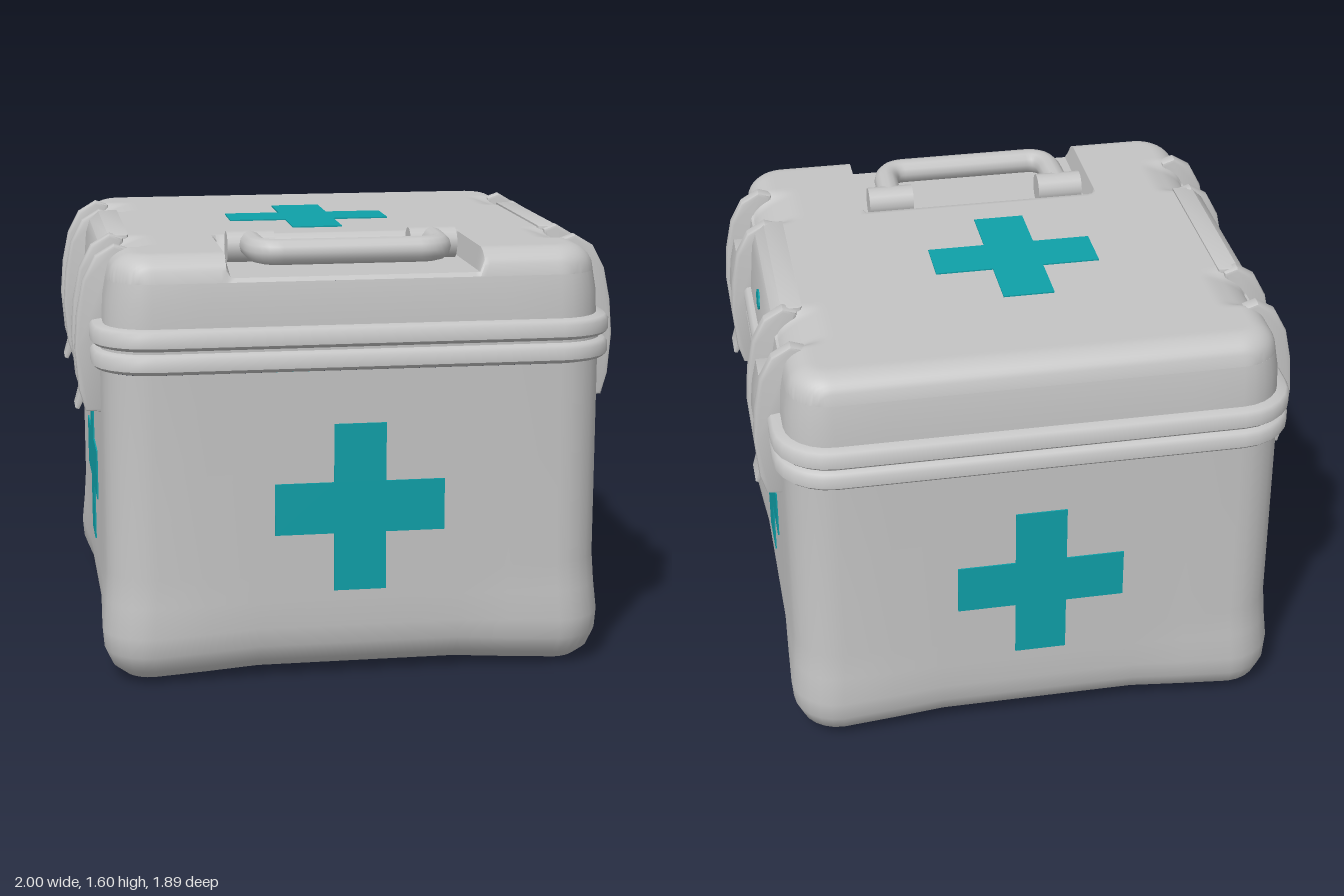
import * as THREE from 'three';
import { toCreasedNormals } from 'three/addons/utils/BufferGeometryUtils.js';

const shellMat = new THREE.MeshStandardMaterial({ color: 0xc4c4c4 });
shellMat.name = 'shell grey';
const tealMat = new THREE.MeshStandardMaterial({ color: 0x0fa0a8 });
tealMat.name = 'cross teal';
const slateMat = new THREE.MeshStandardMaterial({ color: 0x8fa4bb });
slateMat.name = 'base cross slate';

const CORE = 0.735; // where the rounded corners start
const smooth = THREE.MathUtils.smoothstep;

function part(name, geometry, material = shellMat) {
  const mesh = new THREE.Mesh(geometry, material);
  mesh.name = name;
  return mesh;
}

// Points of a rounded square with the given half width
function ring(half) {
  const c = Math.min(CORE, half * 0.95), r = half - c, pts = [];
  for (let k = 0; k < 4; k++) {
    const turn = (k * Math.PI) / 2, cs = Math.cos(turn), sn = Math.sin(turn);
    const add = (x, z) => pts.push([x * cs - z * sn, x * sn + z * cs]);
    for (const t of [-0.75, -0.5, -0.25, 0.25, 0.5, 0.75]) add(half, c * t);
    for (let i = 0; i <= 6; i++) {
      const a = (i / 6) * (Math.PI / 2);
      add(c + r * Math.cos(a), c + r * Math.sin(a));
    }
  }
  return pts;
}

// Skin through rounded squares, listed bottom to top as [y, half width]
function loft(profile, cornerFeet = false) {
  const pos = [], idx = [];
  let n = 0;
  for (const [y, half] of profile) {
    const pts = ring(half);
    n = pts.length;
    for (const [x, z] of pts) {
      const near = smooth(Math.min(Math.abs(x), Math.abs(z)), 0.35, CORE);
      const w = cornerFeet ? near * (1 - smooth(y, 0.15, 0.4)) : 0;
      pos.push(x * (1 + 0.022 * w), y - 0.02 * w, z * (1 + 0.022 * w));
    }
  }
  for (let i = 0; i < profile.length - 1; i++) {
    for (let j = 0; j < n; j++) {
      const a = i * n + j, b = i * n + ((j + 1) % n);
      idx.push(a, a + n, b, b, a + n, b + n);
    }
  }
  const g = new THREE.BufferGeometry();
  g.setAttribute('position', new THREE.Float32BufferAttribute(pos, 3));
  g.setIndex(idx);
  return toCreasedNormals(g, 0.75);
}

// Lid top: domed edge, handle recess and shallow dips beside the latches
function lidTop() {
  const half = 0.885, R = half - CORE, edge = 0.1;
  const g = new THREE.PlaneGeometry(2, 2, 110, 110).rotateX(-Math.PI / 2);
  const p = g.attributes.position;
  const warp = (u) => half * (0.6 * u + 0.4 * Math.sin((u * Math.PI) / 2));
  for (let i = 0; i < p.count; i++) {
    let x = warp(p.getX(i)), z = warp(p.getZ(i));
    const qx = Math.max(Math.abs(x) - CORE, 0), qz = Math.max(Math.abs(z) - CORE, 0);
    const len = Math.hypot(qx, qz);
    if (len > R) {
      x = Math.sign(x) * (Math.abs(x) - qx + (qx * R) / len);
      z = Math.sign(z) * (Math.abs(z) - qz + (qz * R) / len);
    }
    const d = Math.min(Math.max(R - len, 0) / edge, 1);
    let y = 1.47 + 0.095 * Math.sqrt(1 - (1 - d) ** 2);
    const az = Math.abs(z);
    const band = smooth(az, 0.33, 0.38) * (1 - smooth(az, 0.56, 0.62));
    y = Math.max(1.47, y - 0.04 * band * smooth(Math.abs(x), 0.7, 0.86));
    if (x > -0.46 && x < 0.45 && z > 0.38) {
      y = Math.min(y, 1.565 - 0.08 * smooth(z, 0.37, 0.42));
    }
    p.setXYZ(i, x, y, z);
  }
  return toCreasedNormals(g, 0.75);
}

// Side profile in x and y, given width along z
function slab(points, width, bevel = 0.008) {
  const shape = new THREE.Shape(points.map(([x, y]) => new THREE.Vector2(x, y)));
  const g = new THREE.ExtrudeGeometry(shape, {
    depth: width - 2 * bevel, bevelThickness: bevel, bevelSize: bevel,
    bevelOffset: -bevel, bevelSegments: 2,
  });
  return toCreasedNormals(g.translate(0, 0, bevel - width / 2), 0.6);
}

// Thin cross plate facing +z
function cross() {
  const a = 0.095, b = 0.31, s = new THREE.Shape();
  const quarter = [[b, -a], [b, a], [a, a]];
  for (let k = 0; k < 4; k++) {
    for (const [x, y] of quarter) {
      const t = (k * Math.PI) / 2;
      const px = x * Math.cos(t) - y * Math.sin(t), py = x * Math.sin(t) + y * Math.cos(t);
      if (s.curves.length || k || x !== b || y !== -a) s.lineTo(px, py);
      else s.moveTo(px, py);
    }
  }
  return new THREE.ExtrudeGeometry(s, { depth: 0.008, bevelEnabled: false }).translate(0, 0, -0.004);
}

// Centre panel, button and two latches for the +x side
function latchSide() {
  const side = new THREE.Group();
  side.add(part('sidePanel', slab(
    [[0.78, 1.31], [0.92, 1.31], [0.905, 1.49], [0.89, 1.54], [0.855, 1.572], [0.78, 1.572]], 0.7, 0.012)));
  const dot = new THREE.Shape().absellipse(0, 0, 0.052, 0.034, 0, Math.PI * 2);
  const button = part('sideButton',
    new THREE.ExtrudeGeometry(dot, { depth: 0.009, bevelEnabled: false, curveSegments: 8 }).rotateY(Math.PI / 2), tealMat);
  button.position.set(0.907, 1.425, 0);
  button.rotation.z = 0.083;
  side.add(button);

  const rib = slab([[0.8, 1.54], [0.8, 1.56], [0.85, 1.577], [0.92, 1.535], [0.965, 1.45], [0.99, 1.33],
    [1.0, 1.2], [0.988, 1.05], [0.965, 0.97], [0.9, 0.965], [0.87, 1.3]], 0.056, 0.012);
  const plate = slab([[0.88, 1.385], [0.96, 1.385], [0.978, 1.3], [0.988, 1.2], [0.982, 1.125], [0.9, 1.125]], 0.22);
  const tab = slab([[0.9, 1.15], [0.975, 1.15], [0.97, 1.06], [0.998, 0.96], [0.985, 0.955], [0.945, 1.03], [0.9, 1.06]], 0.125, 0.005);
  for (const s of [-1, 1]) {
    const latch = new THREE.Group();
    latch.name = 'latch';
    latch.position.z = s * 0.475;
    for (const dz of [-0.136, 0.136]) {
      const r = part('latchRib', rib);
      r.position.z = dz;
      latch.add(r);
    }
    latch.add(part('latchPlate', plate), part('latchTab', tab));
    side.add(latch);
  }
  return side;
}

export function createModel() {
  const model = new THREE.Group();
  model.name = 'firstAidBox';

  // Shell
  model.add(part('body', loft([[0.02, 0], [0.02, 0.4], [0.02, 0.62], [0.02, 0.76], [0.035, 0.83], [0.07, 0.875],
    [0.13, 0.902], [0.2, 0.91], [0.3, 0.91], [0.4, 0.91], [1.15, 0.91]], true)));
  model.add(part('lowerRim', loft([[1.148, 0.9], [1.156, 0.932], [1.168, 0.945], [1.206, 0.945], [1.22, 0.934], [1.228, 0.91]])));
  model.add(part('seam', loft([[1.215, 0.915], [1.25, 0.915]])));
  model.add(part('upperRim', loft([[1.234, 0.91], [1.241, 0.935], [1.252, 0.947], [1.294, 0.947], [1.308, 0.935], [1.315, 0.89]])));
  model.add(part('lidWall', loft([[1.3, 0.902], [1.4, 0.897], [1.47, 0.885]])));
  model.add(part('lidTop', lidTop()));

  // Latch sides
  for (const turn of [0, Math.PI]) {
    const side = latchSide();
    side.name = turn ? 'rightLatches' : 'leftLatches';
    side.rotation.y = turn;
    model.add(side);
  }

  // Folded carry handle
  const handle = new THREE.Group();
  handle.name = 'handle';
  handle.position.set(-0.005, 1.552, 0);
  const v = (x, z) => new THREE.Vector3(x, 0, z);
  const path = new THREE.CurvePath();
  path.add(new THREE.LineCurve3(v(-0.34, 0.5), v(-0.335, 0.64)));
  path.add(new THREE.QuadraticBezierCurve3(v(-0.335, 0.64), v(-0.33, 0.735), v(-0.25, 0.735)));
  path.add(new THREE.LineCurve3(v(-0.25, 0.735), v(0.25, 0.735)));
  path.add(new THREE.QuadraticBezierCurve3(v(0.25, 0.735), v(0.33, 0.735), v(0.335, 0.64)));
  path.add(new THREE.LineCurve3(v(0.335, 0.64), v(0.34, 0.5)));
  handle.add(part('handleGrip', new THREE.TubeGeometry(path, 60, 0.047, 12)));
  for (const s of [-1, 1]) {
    const pivot = part('handlePivot', new THREE.CylinderGeometry(0.058, 0.058, 0.175, 16).rotateZ(Math.PI / 2));
    pivot.position.set(s * 0.34, -0.012, 0.5);
    handle.add(pivot);
  }
  model.add(handle);

  // Crosses on every face
  const plate = cross(), H = Math.PI / 2;
  const spots = [
    ['frontCross', 0, 0.645, 0.911, 0, 0], ['backCross', 0, 0.645, -0.911, 0, Math.PI],
    ['leftCross', 0.911, 0.645, 0, 0, H], ['rightCross', -0.911, 0.645, 0, 0, -H],
    ['topCross', -0.05, 1.566, -0.09, -H, 0], ['baseCross', 0, 0.019, 0, H, 0],
  ];
  for (const [name, x, y, z, rx, ry] of spots) {
    const c = part(name, plate, name === 'baseCross' ? slateMat : tealMat);
    c.position.set(x, y, z);
    c.rotation.set(rx, ry, 0);
    model.add(c);
  }
  return model;
}
